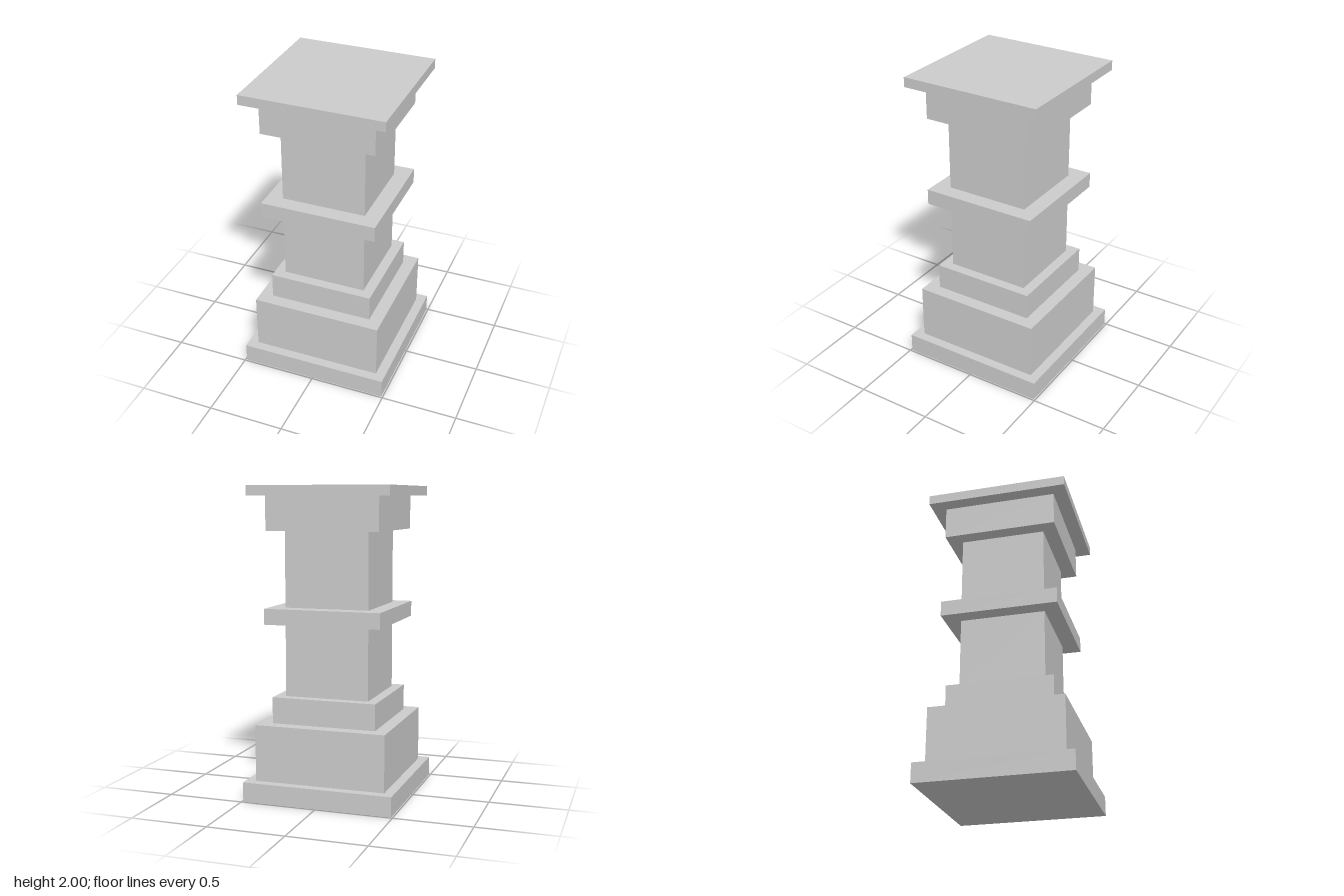
import * as THREE from 'three';

// Square tiers of the pedestal, bottom to top: name, width, bottom y, top y
const TIERS = [
  ['baseSlab', 0.98, 0, 0.127],
  ['plinth', 0.854, 0.127, 0.492],
  ['plinthStep', 0.684, 0.492, 0.661],
  ['lowerShaft', 0.55, 0.661, 1.132],
  ['middleBand', 0.758, 1.132, 1.233],
  ['upperShaft', 0.55, 1.233, 1.72],
  ['capital', 0.736, 1.72, 1.937],
  ['topSlab', 0.916, 1.937, 2],
];

export function createModel() {
  const column = new THREE.Group();
  column.name = 'squareColumn';
  const stone = new THREE.MeshStandardMaterial({ color: 0xcccccc, flatShading: true });

  for (const [name, width, bottom, top] of TIERS) {
    const tier = new THREE.Mesh(new THREE.BoxGeometry(width, top - bottom, width), stone);
    tier.name = name;
    tier.position.y = (bottom + top) / 2;
    column.add(tier);
  }
  return column;
}
